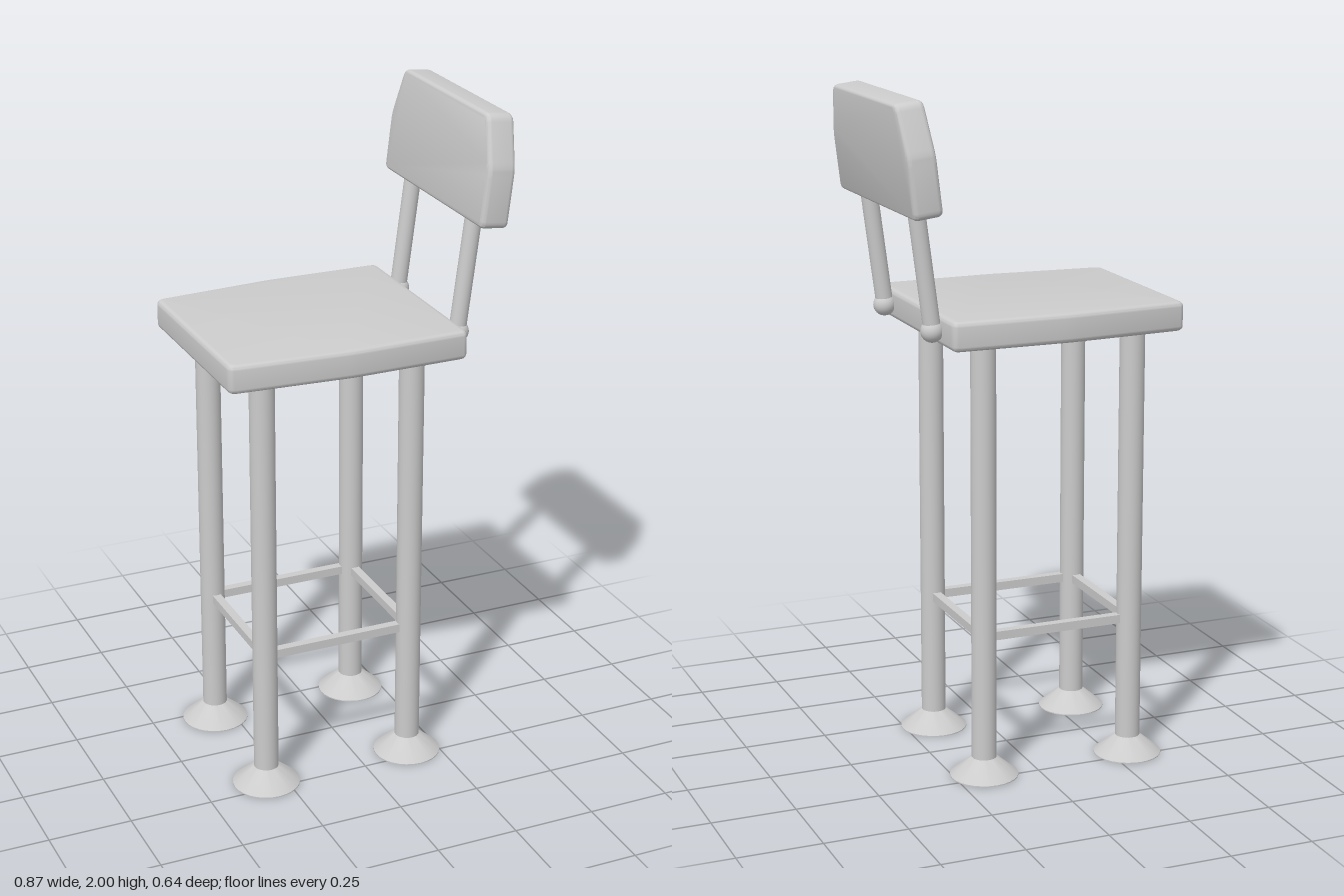
import * as THREE from 'three';
import { toCreasedNormals } from 'three/addons/utils/BufferGeometryUtils.js';

const grey = new THREE.MeshStandardMaterial({ color: 0xcccccc });

function part(name, geometry, parent, x = 0, y = 0, z = 0) {
  const mesh = new THREE.Mesh(geometry, grey);
  mesh.name = name;
  mesh.position.set(x, y, z);
  parent.add(mesh);
  return mesh;
}

// Padded slab: outline with rounded corners and rounded rims, centred on its thickness
function cushion(corners, thickness, radius, bevel) {
  const pts = corners.map(([x, y]) => new THREE.Vector2(x, y));
  const shape = new THREE.Shape();
  pts.forEach((p, i) => {
    const toward = (q) => p.clone().add(q.clone().sub(p).setLength(radius));
    const a = toward(pts[(i + pts.length - 1) % pts.length]);
    const b = toward(pts[(i + 1) % pts.length]);
    if (i === 0) shape.moveTo(a.x, a.y);
    else shape.lineTo(a.x, a.y);
    shape.quadraticCurveTo(p.x, p.y, b.x, b.y);
  });
  shape.closePath();
  const depth = thickness - 2 * bevel;
  const geometry = new THREE.ExtrudeGeometry(shape, {
    depth, curveSegments: 5, bevelEnabled: true, bevelSegments: 5,
    bevelSize: bevel, bevelThickness: bevel, bevelOffset: -bevel,
  });
  geometry.translate(0, 0, -depth / 2);
  return toCreasedNormals(geometry, 0.5);
}

// Round rod between two points
function rod(name, from, to, radius, parent) {
  const dir = to.clone().sub(from);
  const mesh = part(name, new THREE.CylinderGeometry(radius, radius, dir.length(), 20), parent);
  mesh.position.copy(from).add(to).multiplyScalar(0.5);
  mesh.quaternion.setFromUnitVectors(new THREE.Vector3(0, 1, 0), dir.normalize());
  return mesh;
}

export function createModel() {
  const stool = new THREE.Group();
  stool.name = 'barStool';

  // Seat, slightly narrower at its free end
  const seat = cushion([
    [-0.435, -0.293], [-0.07, -0.319], [0.285, -0.314],
    [0.285, 0.314], [-0.07, 0.319], [-0.435, 0.293],
  ], 0.086, 0.024, 0.015);
  seat.rotateX(-Math.PI / 2);
  part('seat', seat, stool, 0, 1.345, 0);

  // Four legs with flared feet
  const xs = [-0.305, 0.159], zs = [-0.215, 0.205];
  const legRadius = 0.037;
  const footProfile = [[0, 0], [0.101, 0], [0.101, 0.003], [0.037, 0.057], [0.03, 0.06], [0, 0.06]]
    .map(([r, y]) => new THREE.Vector2(r, y));
  const footGeometry = toCreasedNormals(new THREE.LatheGeometry(footProfile, 28), 0.5);
  for (const x of xs) for (const z of zs) {
    part('leg', new THREE.CylinderGeometry(legRadius, legRadius, 1.28, 24), stool, x, 0.67, z);
    part('foot', footGeometry, stool, x, 0, z);
  }

  // Ring of stretchers joining the legs
  const barY = 0.429, bar = 0.026;
  const midX = (xs[0] + xs[1]) / 2, midZ = (zs[0] + zs[1]) / 2;
  const spanX = xs[1] - xs[0] - legRadius, spanZ = zs[1] - zs[0] - legRadius;
  for (const z of zs) part('sideStretcher', new THREE.BoxGeometry(spanX, bar, bar), stool, midX, barY, z);
  for (const x of xs) part('crossStretcher', new THREE.BoxGeometry(bar, bar, spanZ), stool, x, barY, midZ);

  // Backrest supports, each rising from a ball joint
  for (const z of [-0.198, 0.198]) {
    part('ballJoint', new THREE.SphereGeometry(0.033, 24, 16), stool, 0.306, 1.345, z);
    rod('backSupport', new THREE.Vector3(0.305, 1.345, z), new THREE.Vector3(0.354, 1.72, z), 0.025, stool);
  }

  // Backrest with chamfered upper corners, leaning outward
  const back = cushion([
    [-0.319, -0.158], [0.319, -0.158], [0.319, 0.012],
    [0.266, 0.158], [-0.266, 0.158], [-0.319, 0.012],
  ], 0.086, 0.022, 0.014);
  back.rotateY(Math.PI / 2);
  part('backrest', back, stool, 0.373, 1.837, 0).rotation.z = -0.12;

  return stool;
}
